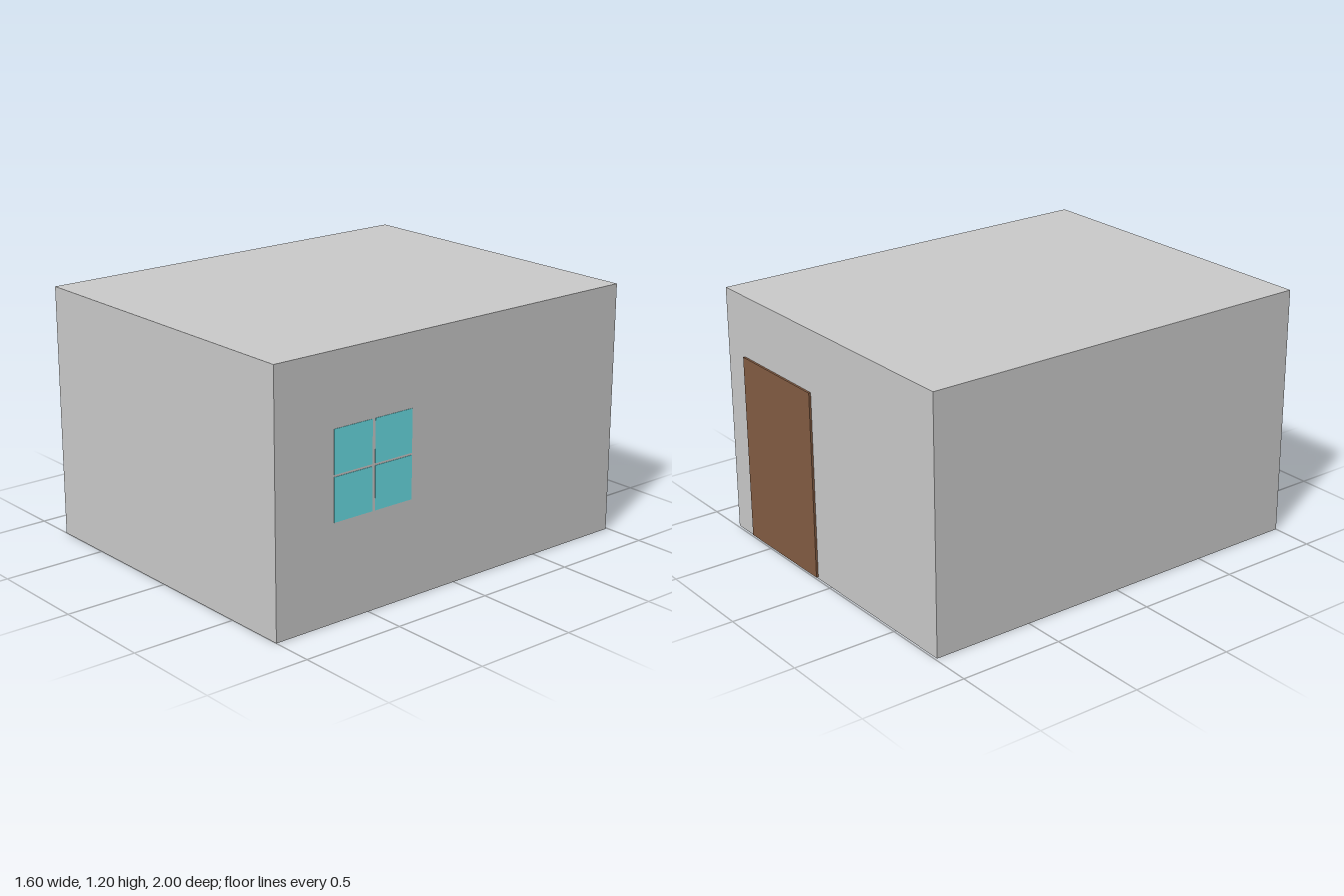
import * as THREE from 'three';

const grey = new THREE.MeshStandardMaterial({ color: 0xcccccc });
const greyInside = new THREE.MeshStandardMaterial({ color: 0xcccccc, side: THREE.BackSide });
const wood = new THREE.MeshStandardMaterial({ color: 0x845d43 });
const glass = new THREE.MeshStandardMaterial({ color: 0x6be1e8 });
const navy = new THREE.MeshStandardMaterial({ color: 0x454562 });

// Box spanning the given ranges
function span([x0, x1], [y0, y1], [z0, z1]) {
  return new THREE.BoxGeometry(x1 - x0, y1 - y0, z1 - z0)
    .translate((x0 + x1) / 2, (y0 + y1) / 2, (z0 + z1) / 2);
}

// Same box without its bottom face
function openSpan(x, y, z) {
  const geometry = span(x, y, z);
  const index = Array.from(geometry.index.array);
  index.splice(18, 6);
  geometry.setIndex(index);
  geometry.clearGroups();
  return geometry;
}

function rectangle(path, [x0, x1], [z0, z1]) {
  path.moveTo(x0, z0);
  path.lineTo(x1, z0);
  path.lineTo(x1, z1);
  path.lineTo(x0, z1);
  path.closePath();
  return path;
}

export function createModel() {
  const model = new THREE.Group();
  const add = (name, geometry, material, parent = model) => {
    const mesh = new THREE.Mesh(geometry, material);
    mesh.name = name;
    parent.add(mesh);
  };
  const width = [-0.8, 0.8], depth = [-0.99, 1];
  const matX = [0.16, 0.63], matZ = [-0.98, -0.755];

  // Walls and flat roof
  add('wallsAndRoof', openSpan(width, [0, 1.2], depth), grey);

  // Underside with a shallow recess behind the door
  const floor = rectangle(new THREE.Shape(), width, depth);
  floor.holes.push(rectangle(new THREE.Path(), matX, matZ));
  add('floor', new THREE.ShapeGeometry(floor).rotateX(Math.PI / 2), grey);
  add('matRecess', openSpan(matX, [0, 0.02], matZ), greyInside);
  add('doorMat', span(matX, [0.014, 0.019], matZ), navy);

  // Door on the back wall
  add('door', span([0.11, 0.66], [0.008, 0.905], [-1, -0.985]), wood);

  // Four window panes separated by narrow strips of wall
  const windowGroup = new THREE.Group();
  windowGroup.name = 'window';
  model.add(windowGroup);
  for (const z of [[0.26, 0.466], [0.482, 0.69]]) {
    for (const y of [[0.455, 0.656], [0.666, 0.865]]) {
      add('windowPane', span([0.79, 0.802], y, z), glass, windowGroup);
    }
  }
  return model;
}
